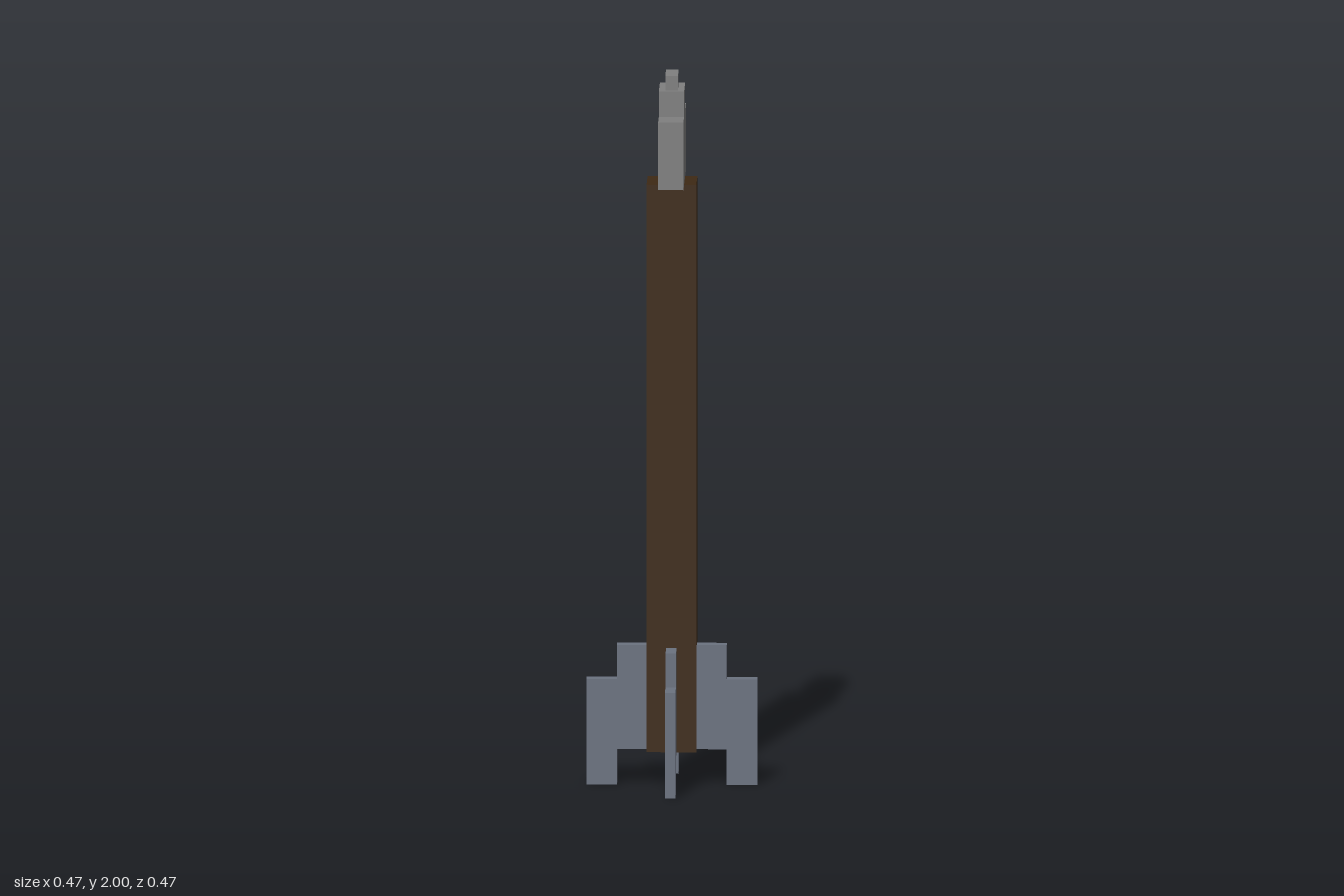
import * as THREE from 'three';

// Extrudes an outline symmetrically about its own plane
function slab(points, thickness, material, name) {
  const shape = new THREE.Shape(points.map(([x, y]) => new THREE.Vector2(x, y)));
  const geometry = new THREE.ExtrudeGeometry(shape, { depth: thickness, bevelEnabled: false });
  geometry.translate(0, 0, -thickness / 2);
  const mesh = new THREE.Mesh(geometry, material);
  mesh.name = name;
  return mesh;
}

export function createModel() {
  const group = new THREE.Group();
  group.name = 'arrow';
  const wood = new THREE.MeshStandardMaterial({ color: 0x3d2914 });
  const stone = new THREE.MeshStandardMaterial({ color: 0x808080 });
  const feather = new THREE.MeshStandardMaterial({ color: 0x6b7280 });

  // Square shaft
  const shaft = new THREE.Mesh(new THREE.BoxGeometry(0.138, 1.597, 0.138), wood);
  shaft.position.y = 0.1 + 1.597 / 2;
  shaft.name = 'shaft';
  group.add(shaft);

  // Stepped flat head, broad along z
  const head = slab([
    [-0.153, 1.697], [0.153, 1.697], [0.153, 1.888], [0.069, 1.888],
    [0.069, 1.96], [-0.069, 1.96], [-0.069, 1.888], [-0.153, 1.888],
  ], 0.07, stone, 'head');
  head.rotation.y = Math.PI / 2;
  group.add(head);

  // Small narrow tip
  const tip = new THREE.Mesh(new THREE.BoxGeometry(0.035, 0.04, 0.104), stone);
  tip.position.y = 1.98;
  tip.name = 'tip';
  group.add(tip);

  // Four stepped fins; the side pair is a little thicker than the front and back pair
  const outline = [
    [0.069, 0.1], [0.152, 0.1], [0.152, 0], [0.237, 0],
    [0.237, 0.297], [0.152, 0.297], [0.152, 0.393], [0.069, 0.393],
  ];
  ['leftFin', 'backFin', 'rightFin', 'frontFin'].forEach((name, i) => {
    const fin = slab(outline, i % 2 ? 0.029 : 0.038, feather, name);
    fin.rotation.y = i * Math.PI / 2;
    group.add(fin);
  });

  return group;
}
